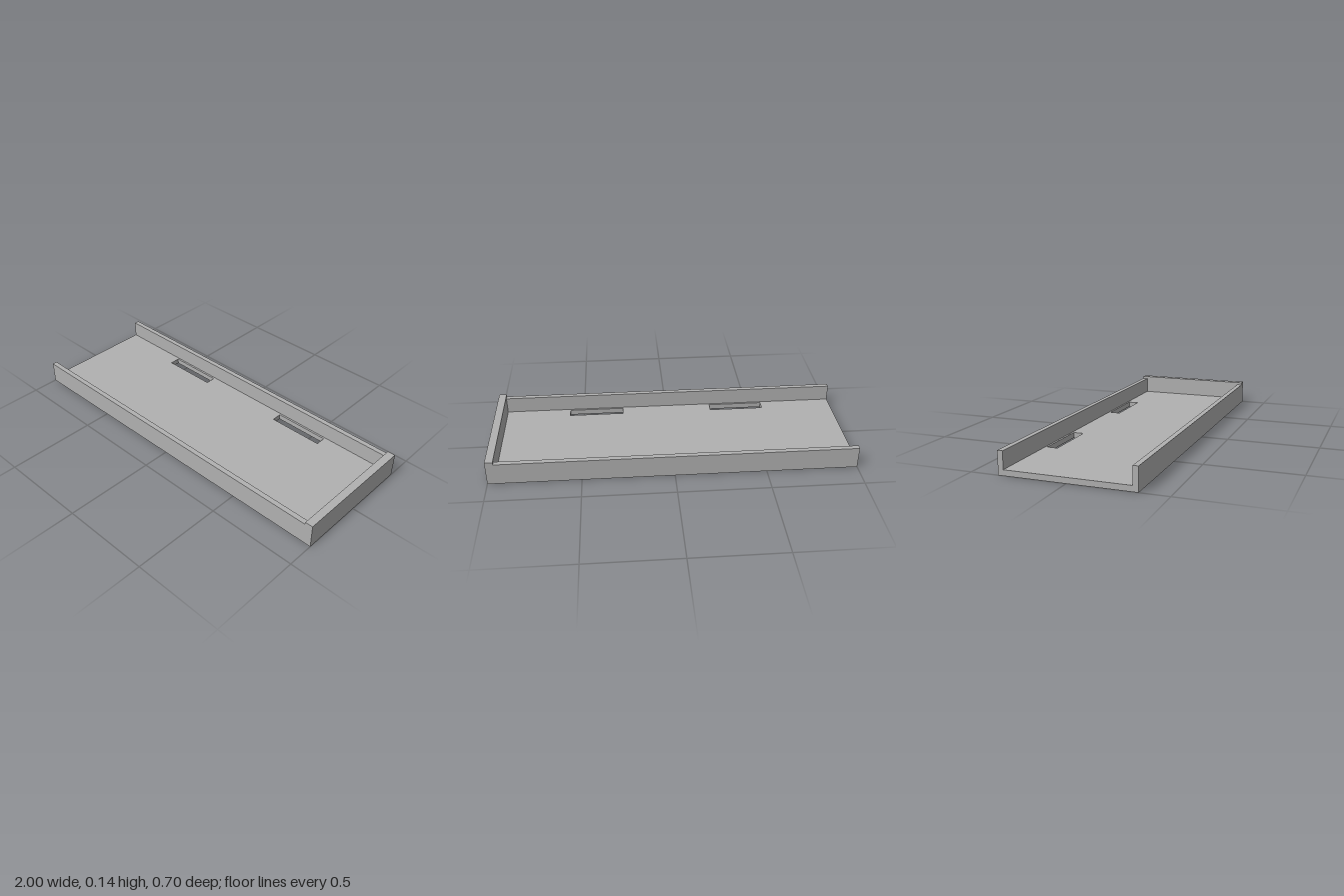
import * as THREE from 'three';

const HALF_X = 1, HALF_Z = 0.352;
const FLOOR = 0.03, WALL = 0.028, WALL_TOP = 0.122;
const END = 0.043, END_TOP = 0.136;

const rect = (Type, x0, x1, y0, y1) => {
  const p = new Type();
  p.moveTo(x0, y0);
  p.lineTo(x1, y0);
  p.lineTo(x1, y1);
  p.lineTo(x0, y1);
  p.closePath();
  return p;
};

export function createModel() {
  const model = new THREE.Group();
  model.name = 'tray';
  const grey = new THREE.MeshStandardMaterial({ color: 0xb0b0b0 });
  grey.name = 'grey';

  const add = (name, geometry, x = 0, y = 0, z = 0) => {
    const mesh = new THREE.Mesh(geometry, grey);
    mesh.name = name;
    mesh.position.set(x, y, z);
    model.add(mesh);
  };

  // Floor plate with four slots, two along each side wall
  const innerZ = HALF_Z - WALL;
  const plate = rect(THREE.Shape, -HALF_X, HALF_X - END, -innerZ, innerZ);
  for (const sx of [-1, 1]) {
    for (const sz of [-1, 1]) {
      const cx = sx * 0.4225, cz = sz * 0.284;
      plate.holes.push(rect(THREE.Path, cx - 0.158, cx + 0.158, cz - 0.029, cz + 0.029));
    }
  }
  const floor = new THREE.ExtrudeGeometry(plate, { depth: FLOOR, bevelEnabled: false });
  floor.rotateX(-Math.PI / 2);
  add('floor', floor);

  // Long side walls, open at the right end
  const length = 2 * HALF_X - END;
  for (const [name, s] of [['frontWall', 1], ['backWall', -1]]) {
    add(name, new THREE.BoxGeometry(length, WALL_TOP, WALL),
      -END / 2, WALL_TOP / 2, s * (HALF_Z - WALL / 2));
  }

  // Taller, thicker wall closing the left end
  add('endWall', new THREE.BoxGeometry(END, END_TOP, 2 * HALF_Z),
    HALF_X - END / 2, END_TOP / 2, 0);

  return model;
}
